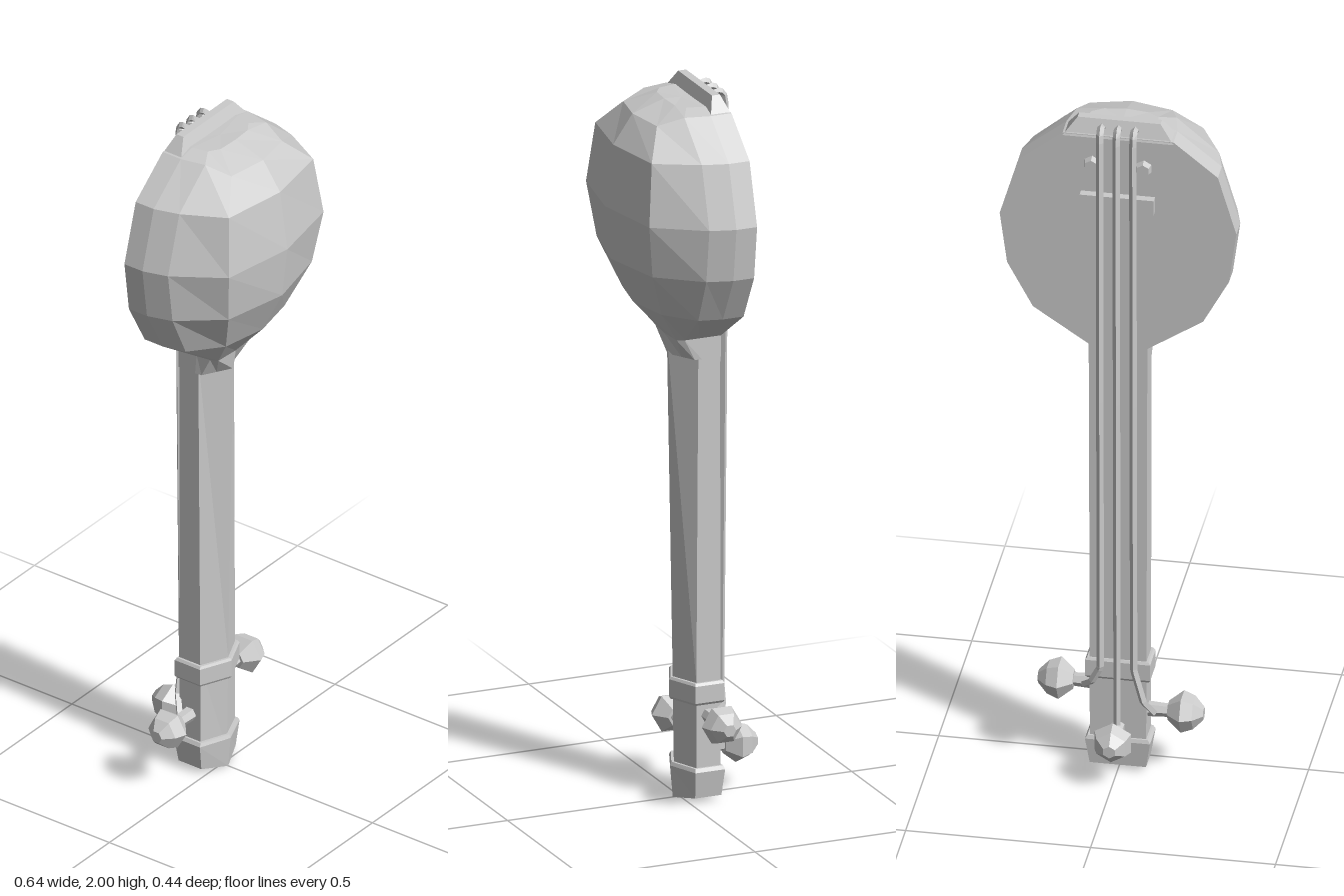
import * as THREE from 'three';

const mat = new THREE.MeshStandardMaterial({ color: 0xcccccc, flatShading: true, side: THREE.DoubleSide });

function add(parent, name, geometry) {
  const mesh = new THREE.Mesh(geometry, mat);
  mesh.name = name;
  parent.add(mesh);
  return mesh;
}

// Mirror a half section, running from the back edge to the front centre point
const mirror = half => [...half, ...half.slice(0, -1).reverse().map(([x, y, z]) => [-x, y, z])];

// Skin a stack of closed rings (listed upward) and cap both ends
function loft(rings) {
  const pos = [];
  const tri = (...p) => p.forEach(v => pos.push(...v));
  const n = rings[0].length;
  for (let i = 0; i < rings.length - 1; i++) {
    for (let j = 0; j < n; j++) {
      const k = (j + 1) % n;
      const a = rings[i][j], b = rings[i][k], c = rings[i + 1][k], d = rings[i + 1][j];
      tri(a, d, c);
      tri(a, c, b);
    }
  }
  const cap = (ring, up) => {
    const mid = [0, 1, 2].map(q => ring.reduce((s, p) => s + p[q], 0) / n);
    ring.forEach((p, j) => {
      const next = ring[(j + 1) % n];
      up ? tri(mid, next, p) : tri(mid, p, next);
    });
  };
  cap(rings[0], false);
  cap(rings[rings.length - 1], true);
  const g = new THREE.BufferGeometry();
  g.setAttribute('position', new THREE.Float32BufferAttribute(pos, 3));
  g.computeVertexNormals();
  return g;
}

// Five-sided section: flat back, straight sides, ridged front
const ridged = (y, w, back, side, front, yFront = y) =>
  mirror([[w, y, back], [w, y, side], [0, yFront, front]]);

// Tuning peg along +y: round stem and faceted head
function peg(parent, name, stem) {
  const g = new THREE.Group();
  g.name = name;
  add(g, 'pegStem', new THREE.CylinderGeometry(0.018, 0.022, stem, 6)).position.y = stem / 2;
  const profile = [[0, 0], [0.026, 0], [0.057, 0.038], [0.045, 0.07], [0.018, 0.096], [0, 0.096]];
  add(g, 'pegHead', new THREE.LatheGeometry(profile.map(p => new THREE.Vector2(...p)), 6)).position.y = stem;
  parent.add(g);
  return g;
}

export function createModel() {
  const model = new THREE.Group();
  model.name = 'stringInstrument';

  // Bowl: [y, half width, shoulder x, shoulder z, corner x, corner z, centre z]
  const rows = [
    [1.25, 0.08, 0.078, -0.01, 0.04, 0.012, 0.035],
    [1.31, 0.08, 0.08, 0.02, 0.07, 0.04, 0.045],
    [1.41, 0.23, 0.215, 0.04, 0.13, 0.11, 0.135],
    [1.54, 0.3, 0.28, 0.045, 0.185, 0.16, 0.2],
    [1.69, 0.32, 0.3, 0.045, 0.21, 0.18, 0.217],
    [1.86, 0.27, 0.25, 0.045, 0.187, 0.163, 0.193],
  ];
  const rings = rows.map(([y, w, sx, sz, cx, cz, z]) => mirror([
    [w, y, -0.085], [w, y, Math.min(-0.025, sz - 0.02)], [sx, y, sz], [cx, y, cz], [0, y, z]]));
  rings.push(mirror([[0.15, 1.957, -0.085], [0.15, 1.957, -0.025], [0.135, 1.957, 0.045],
    [0.112, 1.936, 0.115], [0, 1.94, 0.137]]));
  rings.push(mirror([[0.1, 1.965, -0.08], [0.1, 1.968, -0.025], [0.09, 1.968, 0.02],
    [0.06, 1.968, 0.04], [0, 1.97, 0.045]]));
  add(model, 'bowl', loft(rings));

  // Tailpiece ridge on the end of the bowl
  add(model, 'tailpiece', loft([
    [[0.15, 1.95, -0.087], [0.15, 1.95, -0.025], [-0.15, 1.95, -0.025], [-0.15, 1.95, -0.087]],
    [[0.112, 2, -0.068], [0.112, 2, -0.045], [-0.112, 2, -0.045], [-0.112, 2, -0.068]],
  ]));

  // Neck, nut collar and end block
  add(model, 'neck', loft([
    ridged(0.05, 0.076, -0.085, -0.015, 0.016),
    ridged(0.34, 0.077, -0.085, -0.015, 0.02),
    ridged(1.3, 0.079, -0.083, -0.02, 0.037),
  ]));
  add(model, 'nutCollar', loft([
    ridged(0.278, 0.083, -0.088, -0.01, 0.027),
    ridged(0.285, 0.088, -0.092, -0.008, 0.031),
    ridged(0.333, 0.088, -0.092, -0.008, 0.031),
    ridged(0.34, 0.083, -0.088, -0.01, 0.027),
  ]));
  add(model, 'endBlock', loft([
    ridged(0.015, 0.076, -0.088, -0.012, 0.02, 0),
    ridged(0.09, 0.088, -0.094, -0.008, 0.028),
    ridged(0.1, 0.082, -0.09, -0.01, 0.024),
  ]));

  // Tuning pegs: one on each side and one at the back
  const left = peg(model, 'leftPeg', 0.07);
  left.position.set(0.055, 0.245, -0.05);
  left.rotation.z = -Math.PI / 2;
  const right = peg(model, 'rightPeg', 0.075);
  right.position.set(-0.055, 0.175, -0.05);
  right.rotation.z = Math.PI / 2;
  const back = peg(model, 'backPeg', 0.06);
  back.position.set(0, 0.13, -0.065);
  back.rotation.x = -Math.PI / 2;

  // Bridge bar and small knobs on the flat soundboard
  add(model, 'bridge', new THREE.BoxGeometry(0.2, 0.045, 0.024)).position.set(0, 1.76, -0.095);
  for (const s of [-1, 1]) {
    const knob = add(model, 'bridgeKnob', new THREE.CylinderGeometry(0.018, 0.024, 0.02, 6));
    knob.rotation.x = -Math.PI / 2;
    knob.position.set(s * 0.07, 1.87, -0.093);
  }

  // Strings bend over the tailpiece and run down to the pegs
  const ends = [
    [-0.045, [[-0.07, 0.22, -0.095], [-0.095, 0.175, -0.07]]],
    [0, [[0, 0.22, -0.1], [0, 0.14, -0.1]]],
    [0.045, [[0.07, 0.27, -0.095], [0.095, 0.245, -0.07]]],
  ];
  for (const [x, tail] of ends) {
    const pts = [[x, 1.965, -0.07], [x, 1.988, -0.085], [x, 1.98, -0.107], [x, 1.95, -0.112],
      [x, 1.15, -0.108], [x, 0.32, -0.1], ...tail].map(p => new THREE.Vector3(...p));
    const path = new THREE.CurvePath();
    for (let i = 0; i < pts.length - 1; i++) path.add(new THREE.LineCurve3(pts[i], pts[i + 1]));
    add(model, 'string', new THREE.TubeGeometry(path, 160, 0.01, 4));
  }

  return model;
}
